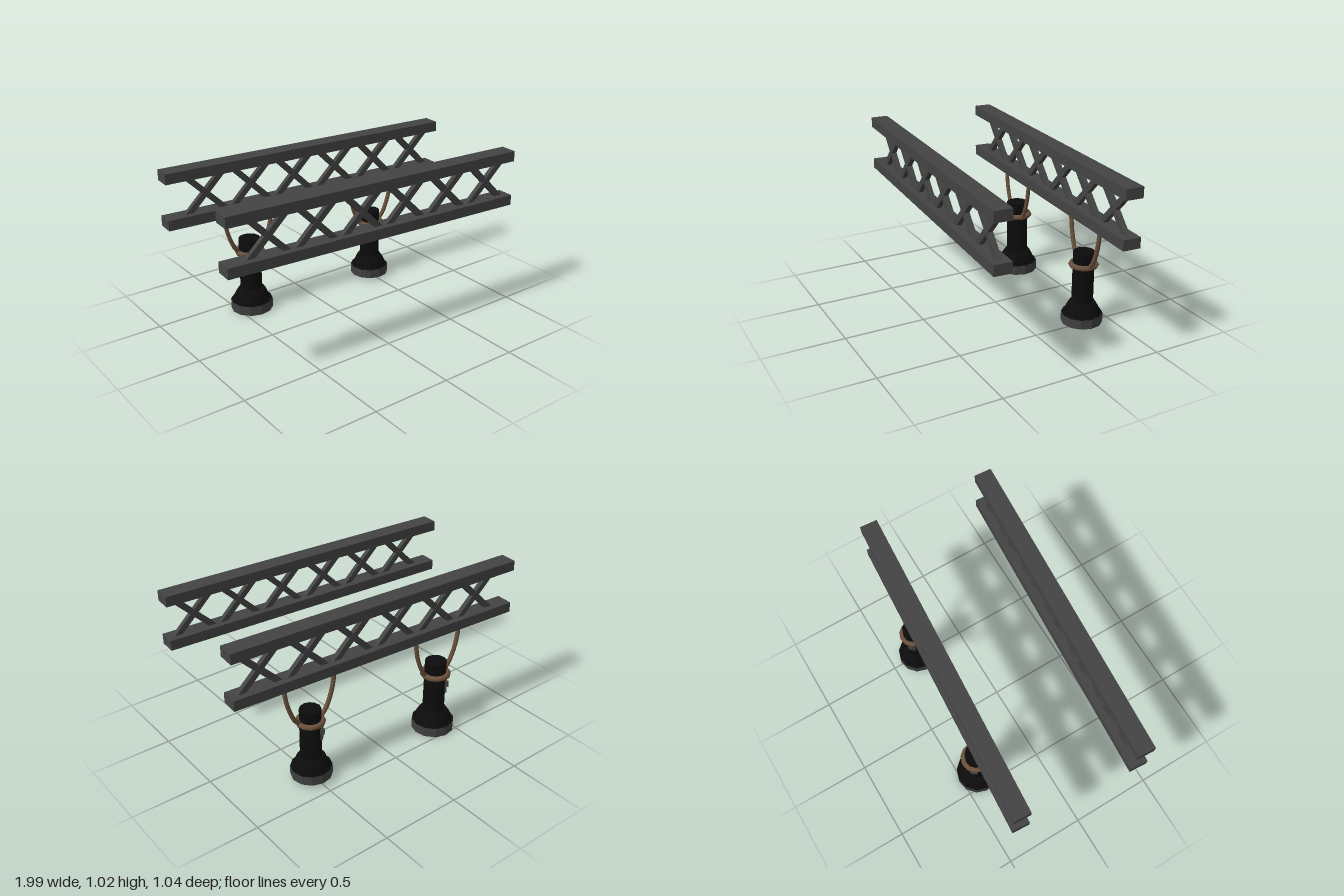
import * as THREE from 'three';

const mat = (name, color, extra = {}) => {
  const m = new THREE.MeshStandardMaterial({ color, ...extra });
  m.name = name;
  return m;
};

export function createModel() {
  const steel = mat('truss grey', 0x444444);
  const grey = mat('lens grey', 0x404040);
  const black = mat('body black', 0x0c0c0c);
  const brown = mat('rope brown', 0x6a513c);
  const YAW = -0.067;

  const add = (parent, name, geometry, material, x = 0, y = 0, z = 0) => {
    const mesh = new THREE.Mesh(geometry, material);
    mesh.name = name;
    mesh.position.set(x, y, z);
    parent.add(mesh);
    return mesh;
  };
  const flat = (geometry) => {
    const g = geometry.toNonIndexed();
    g.computeVertexNormals();
    return g;
  };

  // Truss: two chords joined by six crossed braces
  const chordGeo = new THREE.BoxGeometry(1.945, 0.064, 0.107);
  const braceGeo = new THREE.BoxGeometry(0.36, 0.036, 0.03);
  function truss(name) {
    const g = new THREE.Group();
    g.name = name;
    add(g, 'upperChord', chordGeo, steel, 0, 0.99, 0);
    add(g, 'lowerChord', chordGeo, steel, 0, 0.706, 0);
    for (let i = 0; i < 6; i++) {
      for (const s of [-1, 1]) {
        const brace = add(g, 'brace', braceGeo, steel, -0.71 + i * 0.3, 0.848, s * 0.001);
        brace.rotation.z = s * Math.PI / 4;
      }
    }
    g.rotation.y = YAW;
    return g;
  }

  // Flashlight hanging lens-down, standing on its own y = 0
  const profile = [
    [0, 0.06], [0.132, 0.061], [0.118, 0.064], [0.112, 0.085], [0.1, 0.113],
    [0.084, 0.137], [0.069, 0.142], [0.068, 0.482], [0, 0.482],
  ].map(([r, y]) => new THREE.Vector2(r, y));
  const bodyGeo = flat(new THREE.LatheGeometry(profile, 12));
  const lensGeo = flat(new THREE.CylinderGeometry(0.133, 0.133, 0.06, 12));
  const ringGeo = new THREE.TorusGeometry(0.078, 0.018, 8, 12).rotateX(Math.PI / 2);

  function lamp(name, bottom, scale) {
    const g = new THREE.Group();
    g.name = name;
    const light = new THREE.Group();
    light.name = 'flashlight';
    light.position.y = bottom;
    light.scale.setScalar(scale);
    g.add(light);
    add(light, 'lensRim', lensGeo, grey, 0, 0.03, 0);
    add(light, 'body', bodyGeo, black);
    add(light, 'ropeRing', ringGeo, brown, 0, 0.395, 0);

    // Side switch
    const sw = new THREE.Group();
    sw.name = 'switch';
    sw.rotation.y = Math.atan2(-0.75, -0.66);
    add(sw, 'switchPlate', new THREE.BoxGeometry(0.05, 0.08, 0.016), grey, 0, 0.31, 0.068);
    add(sw, 'switchButton', new THREE.BoxGeometry(0.026, 0.03, 0.012), grey, 0, 0.32, 0.08);
    light.add(sw);

    // Two rope strands rising into the lower chord
    const ringY = bottom + 0.395 * scale;
    for (const s of [-1, 1]) {
      const path = new THREE.CatmullRomCurve3([
        new THREE.Vector3(s * 0.072 * scale, ringY, 0),
        new THREE.Vector3(s * 0.105, ringY + 0.045, 0),
        new THREE.Vector3(s * 0.143, 0.535, 0),
        new THREE.Vector3(s * 0.16, 0.62, 0),
        new THREE.Vector3(s * 0.165, 0.7, 0),
      ]);
      add(g, 'ropeStrand', new THREE.TubeGeometry(path, 16, 0.0135, 8), brown);
    }
    g.rotation.y = YAW;
    return g;
  }

  const model = new THREE.Group();
  model.name = 'trussWithHangingLights';
  const place = (part, x, z) => {
    part.position.x = x;
    part.position.z = z;
    model.add(part);
  };
  place(truss('frontTruss'), -0.025, 0.405);
  place(truss('backTruss'), 0.022, -0.348);
  place(lamp('rightLamp', 0, 1), -0.404, -0.388);
  place(lamp('leftLamp', 0.022, 0.94), 0.5, -0.319);
  return model;
}
